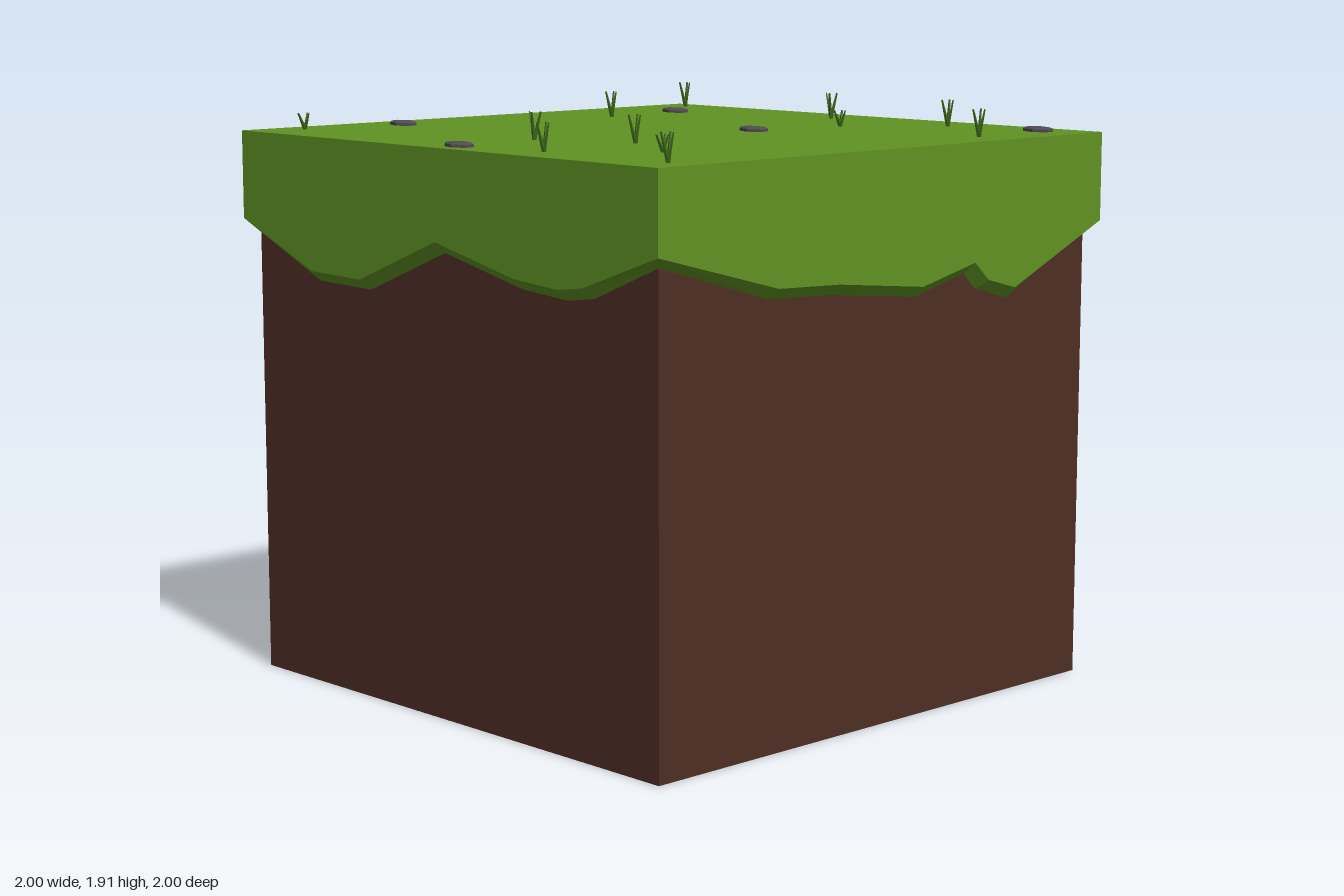
import * as THREE from 'three';

const grass = new THREE.MeshStandardMaterial({ name: 'grass green', color: 0x609323 });
const soil = new THREE.MeshStandardMaterial({ name: 'soil brown', color: 0x4f2e25 });
const stone = new THREE.MeshStandardMaterial({ name: 'stone grey', color: 0x524c52 });
const blade = new THREE.MeshStandardMaterial({ name: 'blade green', color: 0x3d6618 });
for (const m of [grass, soil, stone, blade]) m.flatShading = true;

const TOP = 1.815, INNER = 0.96, LIP = 0.035;

// Lower edge of the turf on each side, left to right as seen from outside
const edges = {
  front: [[-1, 1.525], [-0.63, 1.38], [-0.38, 1.375], [0, 1.525], [0.37, 1.445], [0.57, 1.43], [0.68, 1.445], [1, 1.56]],
  right: [[-1, 1.56], [-0.51, 1.43], [-0.25, 1.42], [0.13, 1.38], [0.375, 1.435], [0.44, 1.375], [0.57, 1.34], [1, 1.525]],
  back: [[-1, 1.525], [-0.77, 1.51], [-0.66, 1.22], [-0.58, 1.21], [-0.36, 1.375], [0, 1.34], [0.19, 1.42],
    [0.31, 1.41], [0.38, 1.375], [0.64, 1.4], [1, 1.525]],
  left: [[-1, 1.525], [-0.37, 1.355], [-0.17, 1.29], [-0.07, 1.2], [0.03, 1.05], [0.12, 1.0], [0.22, 1.02],
    [0.3, 1.1], [0.5, 1.42], [1, 1.525]],
};

// Moves the edge outward along its own normals to get the inner lip
function lipOf(points) {
  const normal = (a, b) => new THREE.Vector2(b[1] - a[1], a[0] - b[0]).normalize();
  return points.map((p, i) => {
    if (i === 0 || i === points.length - 1) return [p[0] * INNER, p[1] - LIP];
    const n1 = normal(points[i - 1], p), n2 = normal(p, points[i + 1]);
    const m = n1.clone().add(n2).normalize();
    m.multiplyScalar(LIP / Math.max(0.5, m.dot(n1)));
    return [THREE.MathUtils.clamp(p[0] + m.x, -INNER, INNER), p[1] + m.y];
  });
}

// One hanging side: upright wall plus slanted lip
function turfSide(points) {
  const lip = lipOf(points), pos = [];
  const quad = (a, b, c, d) => pos.push(...a, ...b, ...c, ...a, ...c, ...d);
  for (let i = 0; i < points.length - 1; i++) {
    const [p, q] = [points[i], points[i + 1]];
    const [r, s] = [lip[i], lip[i + 1]];
    quad([p[0], TOP, 1], [...p, 1], [...q, 1], [q[0], TOP, 1]);
    quad([...p, 1], [...r, INNER], [...s, INNER], [...q, 1]);
  }
  const g = new THREE.BufferGeometry();
  g.setAttribute('position', new THREE.Float32BufferAttribute(pos, 3));
  g.computeVertexNormals();
  return g;
}

export function createModel() {
  const model = new THREE.Group();
  const add = (parent, name, geometry, material) => {
    const mesh = new THREE.Mesh(geometry, material);
    mesh.name = name;
    parent.add(mesh);
    return mesh;
  };

  // Soil block
  add(model, 'soilBlock', new THREE.BoxGeometry(2 * INNER, 1.8, 2 * INNER), soil).position.y = 0.9;

  // Turf top and four hanging sides
  const top = add(model, 'turfTop', new THREE.PlaneGeometry(2, 2), grass);
  top.rotation.x = -Math.PI / 2;
  top.position.y = TOP;
  Object.entries(edges).forEach(([name, points], i) => {
    add(model, name + 'TurfSide', turfSide(points), grass).rotation.y = i * Math.PI / 2;
  });

  // Flat angular stones
  const outline = [[-0.056, 0.017], [-0.043, -0.022], [0.014, -0.042], [0.056, -0.02], [0.05, 0.018], [-0.014, 0.042]];
  const stoneShape = new THREE.Shape(outline.map(([x, y]) => new THREE.Vector2(x, y)));
  const stoneGeo = new THREE.ExtrudeGeometry(stoneShape, {
    depth: 0.012, bevelEnabled: true, bevelSize: 0.006, bevelOffset: -0.006, bevelThickness: 0.005, bevelSegments: 1,
  });
  stoneGeo.rotateX(-Math.PI / 2);
  [[-0.675, -0.665], [0.835, -0.87], [0.18, -0.205], [-0.835, 0.455], [0.02, 0.915]].forEach(([x, z]) => {
    add(model, 'stone', stoneGeo, stone).position.set(x, TOP - 0.003, z);
  });

  // Grass tufts: three leaning blades each; x, z, height scale, turn
  const bladeGeo = new THREE.CylinderGeometry(0.003, 0.007, 0.092, 4);
  bladeGeo.translate(0, 0.046, 0);
  const tufts = [
    [-0.87, -0.905, 1, 0], [-0.045, -0.815, 1, Math.PI], [0.49, -0.82, 1, 0], [0.235, -0.565, 0.6, 0],
    [0.87, -0.535, 1, 0], [-0.64, -0.325, 1, 0], [0.3, 0.435, 1, 0], [-0.02, 0.575, 1, Math.PI],
    [0.61, 0.61, 0.6, 0], [-0.895, 0.82, 0.6, 0], [0.36, 0.865, 1, 0], [0.895, 0.86, 1, 0],
  ];
  for (const [x, z, size, turn] of tufts) {
    const tuft = new THREE.Group();
    tuft.name = 'grassTuft';
    tuft.position.set(x, TOP, z);
    tuft.scale.set(1, size, 1);
    for (let i = 0; i < 3; i++) {
      const b = add(tuft, 'grassBlade', bladeGeo, blade);
      b.rotation.set(0, turn + i * Math.PI * 2 / 3, -0.24);
    }
    model.add(tuft);
  }
  return model;
}
